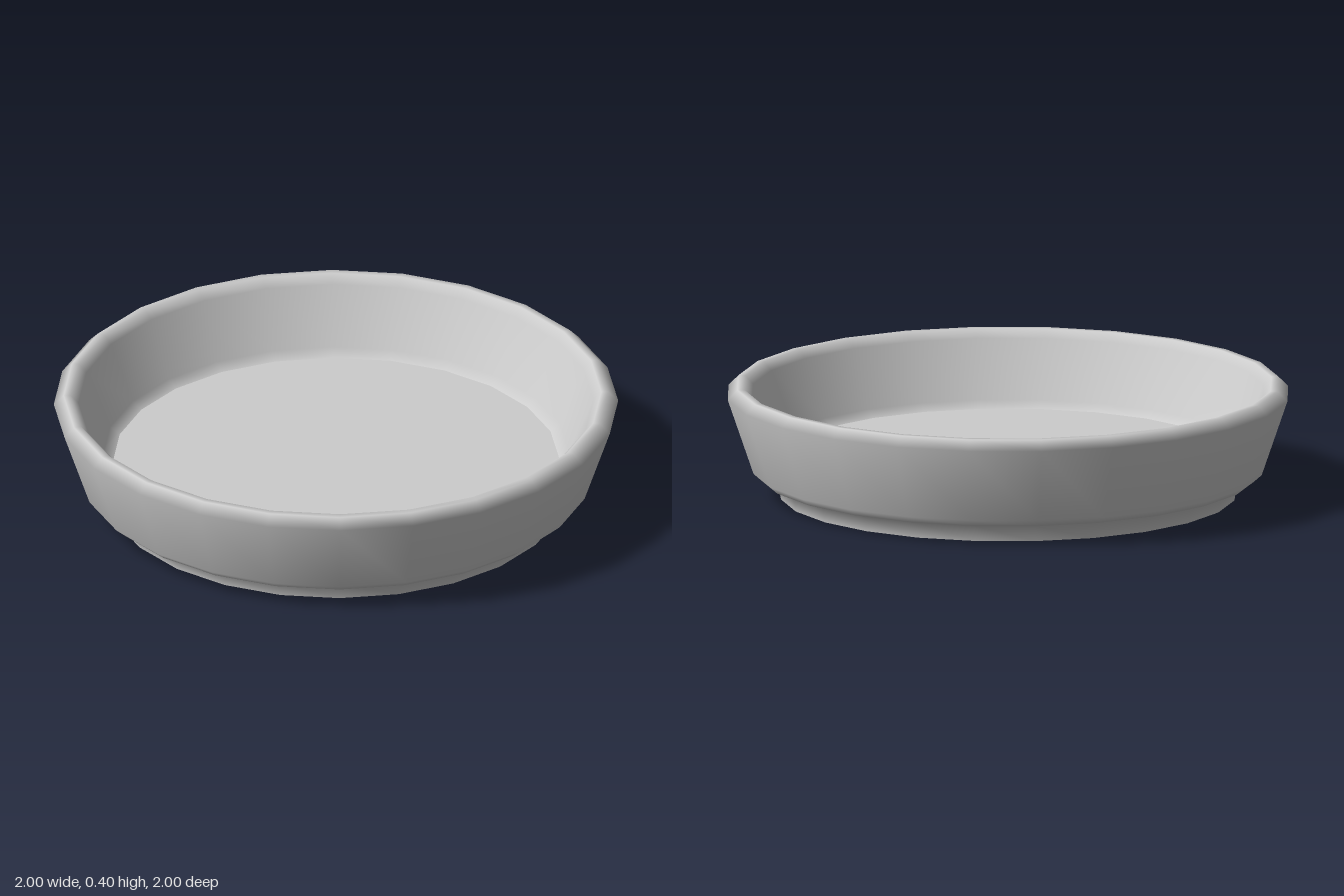
import * as THREE from 'three';

const SIDES = 24;
const FOOT_RADIUS = 0.81;
const FLOOR_RADIUS = 0.79;
const FLOOR_HEIGHT = 0.14;

export function createModel() {
  const group = new THREE.Group();
  group.name = 'dish';
  const glaze = new THREE.MeshStandardMaterial({ color: 0xcccccc });
  glaze.name = 'pale grey';

  // Wall profile: up the foot and outside, over the rim, down the inside
  const profile = [
    [FOOT_RADIUS, 0], [0.82, 0.055], [0.88, 0.07], [0.908, 0.095],
    [1.0, 0.365], [0.965, 0.4], [0.94, 0.4], [0.912, 0.37],
    [0.825, 0.165], [FLOOR_RADIUS, FLOOR_HEIGHT],
  ].map(([x, y]) => new THREE.Vector2(x, y));
  const wall = new THREE.Mesh(new THREE.LatheGeometry(profile, SIDES), glaze);
  wall.name = 'wall';
  group.add(wall);

  // Flat discs closing the inside and the underside
  const addDisc = (name, radius, y, turn) => {
    const disc = new THREE.Mesh(new THREE.CircleGeometry(radius, SIDES), glaze);
    disc.name = name;
    disc.rotation.x = turn;
    disc.position.y = y;
    group.add(disc);
  };
  addDisc('floor', FLOOR_RADIUS, FLOOR_HEIGHT, -Math.PI / 2);
  addDisc('underside', FOOT_RADIUS, 0, Math.PI / 2);

  return group;
}
